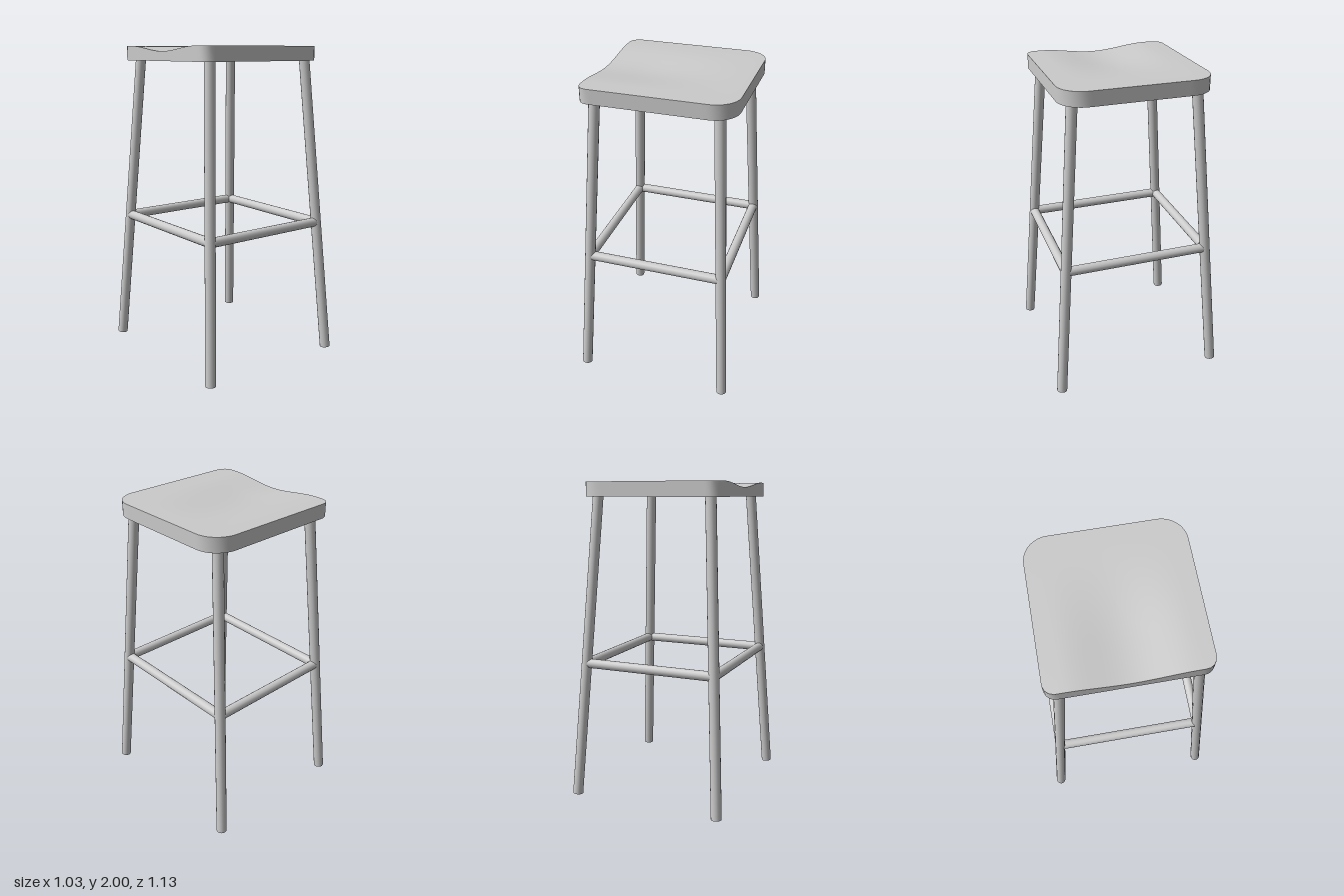
import * as THREE from 'three';

const material = new THREE.MeshStandardMaterial({ color: 0xcccccc, side: THREE.DoubleSide });
const SEAT_BOTTOM = 1.91;
const SEAT_TOP = 2.0;

// Round bar between two points
function rod(name, from, to, radius) {
  const dir = to.clone().sub(from);
  const mesh = new THREE.Mesh(new THREE.CylinderGeometry(radius, radius, dir.length(), 16), material);
  mesh.name = name;
  mesh.position.copy(from).add(to).multiplyScalar(0.5);
  mesh.quaternion.setFromUnitVectors(new THREE.Vector3(0, 1, 0), dir.normalize());
  return mesh;
}

// Seat outline: tight corners on the -x side, generous ones on the +x side
function seatOutline() {
  const [x0, x1, y0, y1, r, R] = [-0.45, 0.47, -0.455, 0.465, 0.065, 0.15];
  const s = new THREE.Shape();
  s.moveTo(x0 + r, y0);
  s.lineTo(x1 - R, y0);
  s.absarc(x1 - R, y0 + R, R, -Math.PI / 2, 0);
  s.lineTo(x1, y1 - R);
  s.absarc(x1 - R, y1 - R, R, 0, Math.PI / 2);
  s.lineTo(x0 + r, y1);
  s.absarc(x0 + r, y1 - r, r, Math.PI / 2, Math.PI);
  s.lineTo(x0, y0 + r);
  s.absarc(x0 + r, y0 + r, r, Math.PI, Math.PI * 1.5);
  return s.getSpacedPoints(128).slice(0, 128);
}

// Height of the scooped top, which runs out through the -x edge
function topHeight(x, z) {
  const across = Math.cos(Math.min(1, Math.abs(z) / 0.36) * Math.PI / 2) ** 2;
  const along = 1 - THREE.MathUtils.smoothstep(x, -0.25, 0.42);
  return SEAT_TOP - 0.032 * across * along;
}

function seatGeometry() {
  const outline = seatOutline();
  const n = outline.length;
  const positions = [];
  const indices = [];
  // Adds one loop of the outline, shrunk towards the seat centre
  const loop = (scale, height) => {
    for (const p of outline) {
      const x = 0.01 + (p.x - 0.01) * scale;
      const z = -0.005 - (p.y - 0.005) * scale;
      positions.push(x, height(x, z), z);
    }
  };
  // Joins the last two loops
  const join = () => {
    const b = positions.length / 3 - n;
    const a = b - n;
    for (let i = 0; i < n; i++) {
      const j = (i + 1) % n;
      indices.push(a + i, b + i, b + j, a + i, b + j, a + j);
    }
  };
  const bottom = () => SEAT_BOTTOM;
  // Scooped top
  const rings = 16;
  for (let k = 0; k <= rings; k++) {
    loop(Math.max(k / rings, 0.001), topHeight);
    if (k > 0) join();
  }
  // Rim, with its own vertices so the edges stay sharp
  loop(1, topHeight);
  loop(1, bottom);
  join();
  // Flat underside
  loop(1, bottom);
  loop(0.001, bottom);
  join();

  const geometry = new THREE.BufferGeometry();
  geometry.setAttribute('position', new THREE.Float32BufferAttribute(positions, 3));
  geometry.setIndex(indices);
  geometry.computeVertexNormals();
  return geometry;
}

export function createModel() {
  const stool = new THREE.Group();
  stool.name = 'stool';

  const seat = new THREE.Mesh(seatGeometry(), material);
  seat.name = 'seat';
  stool.add(seat);

  // Four splayed legs
  for (const sz of [1, -1]) {
    for (const sx of [1, -1]) {
      const name = (sz > 0 ? 'front' : 'back') + (sx > 0 ? 'Left' : 'Right') + 'Leg';
      stool.add(rod(name,
        new THREE.Vector3(sx * 0.483, 0.005, sz * 0.531),
        new THREE.Vector3(sx * 0.37, 1.925, sz * 0.377), 0.033));
    }
  }

  // Four foot rails between the legs
  const [x, y, z] = [0.431, 0.87, 0.461];
  for (const s of [1, -1]) {
    stool.add(rod(s > 0 ? 'frontRail' : 'backRail',
      new THREE.Vector3(-x, y, s * z), new THREE.Vector3(x, y, s * z), 0.03));
    stool.add(rod(s > 0 ? 'leftRail' : 'rightRail',
      new THREE.Vector3(s * x, y, -z), new THREE.Vector3(s * x, y, z), 0.03));
  }
  return stool;
}
